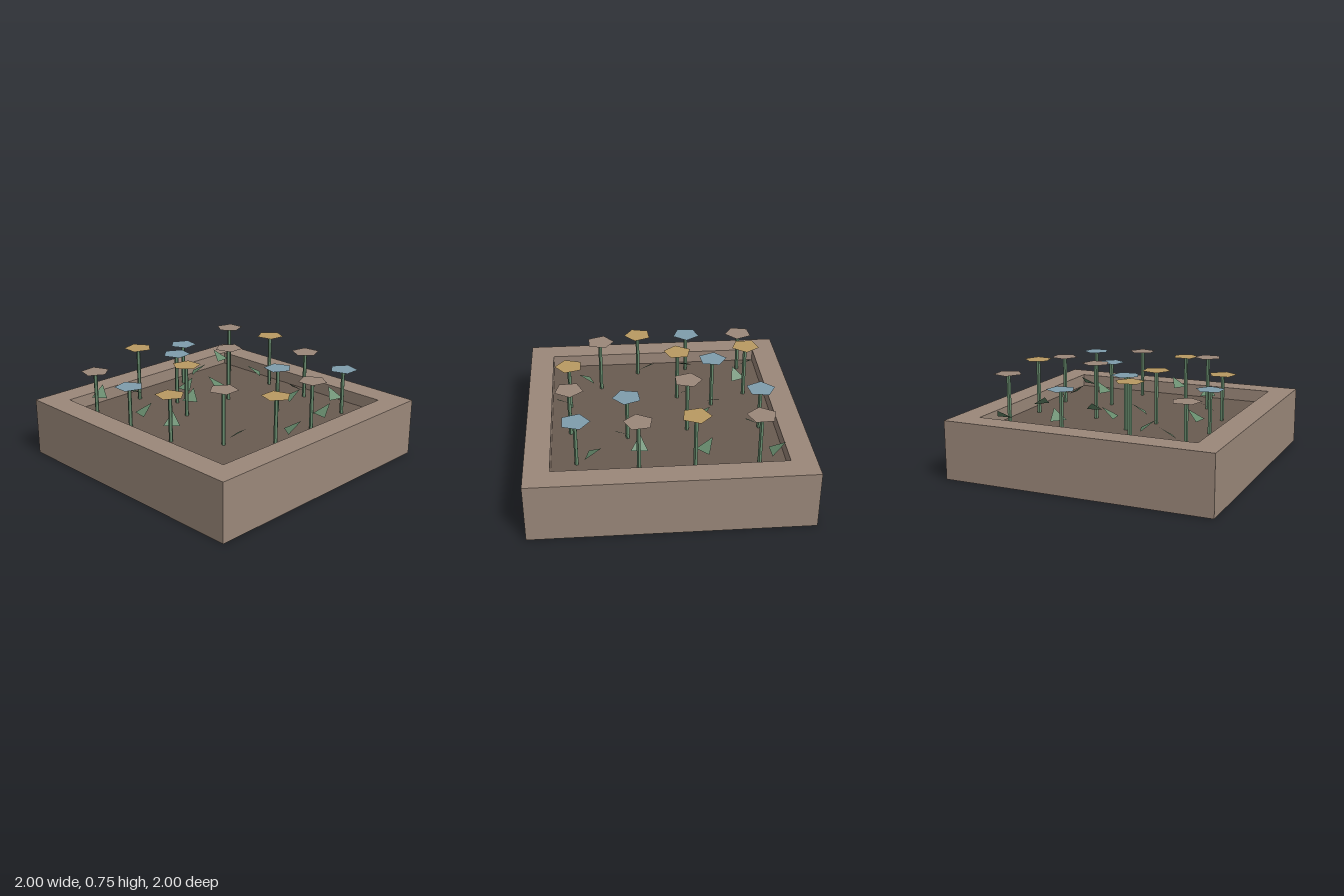
import * as THREE from 'three';

const mat = (name, color, doubleSided = false) => {
  const m = new THREE.MeshStandardMaterial({ color, flatShading: true });
  m.name = name;
  if (doubleSided) m.side = THREE.DoubleSide;
  return m;
};

export function createModel() {
  const clay = mat('clay', 0x9b887a, true);
  const soil = mat('soil', 0x6a5b51, true);
  const green = mat('leaf green', 0x668a6c, true);
  const gold = mat('gold petal', 0xb99a62, true);
  const blue = mat('blue petal', 0x7f9dac, true);

  const RIM = 0.43, SOIL = 0.335, INNER = 0.82;
  const model = new THREE.Group();
  model.name = 'flowerPlanter';
  const add = (parent, name, geometry, material) => {
    const mesh = new THREE.Mesh(geometry, material);
    mesh.name = name;
    parent.add(mesh);
    return mesh;
  };

  // Flat square ring between two half-widths; inner = 0 gives a full plate
  const squareRing = (outer, inner, up) => {
    const square = (r) => [[-r, -r], [r, -r], [r, r], [-r, r]].map(([x, y]) => new THREE.Vector2(x, y));
    const shape = new THREE.Shape(square(outer));
    if (inner) shape.holes.push(new THREE.Path(square(inner)));
    return new THREE.ShapeGeometry(shape).rotateX(up ? -Math.PI / 2 : Math.PI / 2);
  };

  // Planter walls: hollow shell with a flat rim, open underneath
  const planter = new THREE.Group();
  planter.name = 'planter';
  model.add(planter);
  for (let i = 0; i < 4; i++) {
    const a = (i * Math.PI) / 2;
    const outer = new THREE.PlaneGeometry(2, RIM).translate(0, RIM / 2, 1).rotateY(a);
    add(planter, 'outerWall', outer, clay);
    const inner = new THREE.PlaneGeometry(INNER * 2, RIM).rotateY(Math.PI).translate(0, RIM / 2, INNER).rotateY(a);
    add(planter, 'innerWall', inner, clay);
  }
  add(planter, 'rim', squareRing(1, INNER, true), clay).position.y = RIM;
  add(planter, 'soilBed', squareRing(INNER, 0, true), soil).position.y = SOIL;

  // Underside: base plate with two thin border strips
  [[0.85, 0, soil, 'basePlate'], [0.87, 0.85, clay, 'baseTrim'], [0.89, 0.87, soil, 'baseEdge']]
    .forEach(([o, i, m, name]) => { add(planter, name, squareRing(o, i, false), m).position.y = 0.005; });

  // Flowers: x, z, height, petal colour, petal angle, leaf angle (degrees, from +x towards +z)
  const flowers = [
    [-0.68, -0.67, 0.655, clay, 85, -37],
    [-0.27, -0.66, 0.75, gold, 2, 158],
    [0.23, -0.7, 0.66, blue, -98, 45],
    [0.69, -0.63, 0.72, clay, 105, -93],
    [-0.12, -0.39, 0.73, blue, -95, -6],
    [-0.7, -0.25, 0.65, blue, 2, 10],
    [-0.25, -0.14, 0.73, gold, 104, -30],
    [0.22, -0.17, 0.75, clay, -90, -106],
    [0.7, -0.18, 0.745, gold, -83, -133],
    [-0.66, 0.14, 0.68, gold, 86, -43],
    [0.3, 0.27, 0.675, blue, 85, 28],
    [0.68, 0.21, 0.7, clay, 101, 186],
    [-0.44, 0.44, 0.74, clay, -92, 74],
    [-0.17, 0.68, 0.685, gold, 90, 34],
    [0.21, 0.68, 0.7, clay, -4, 7],
    [0.61, 0.64, 0.68, blue, -90, -74],
  ];

  // Triangular leaf pointing along +x, tip raised
  const leafGeometry = new THREE.BufferGeometry();
  leafGeometry.setAttribute('position', new THREE.Float32BufferAttribute(
    [0.18, 0.49, 0, 0.075, 0.42, -0.06, 0.075, 0.42, 0.06], 3));
  leafGeometry.computeVertexNormals();
  const headGeometry = new THREE.CircleGeometry(0.107, 5).rotateX(-Math.PI / 2);

  for (const [x, z, top, petal, petalAngle, leafAngle] of flowers) {
    const flower = new THREE.Group();
    flower.name = 'flower';
    flower.position.set(x, 0, z);
    model.add(flower);
    const length = top - SOIL;
    add(flower, 'stem', new THREE.CylinderGeometry(0.015, 0.015, length, 5), green)
      .position.y = SOIL + length / 2;
    const head = add(flower, 'flowerHead', headGeometry, petal);
    head.position.y = top + 0.002;
    head.rotation.y = -THREE.MathUtils.degToRad(petalAngle);
    add(flower, 'leaf', leafGeometry, green).rotation.y = -THREE.MathUtils.degToRad(leafAngle);
  }
  return model;
}
